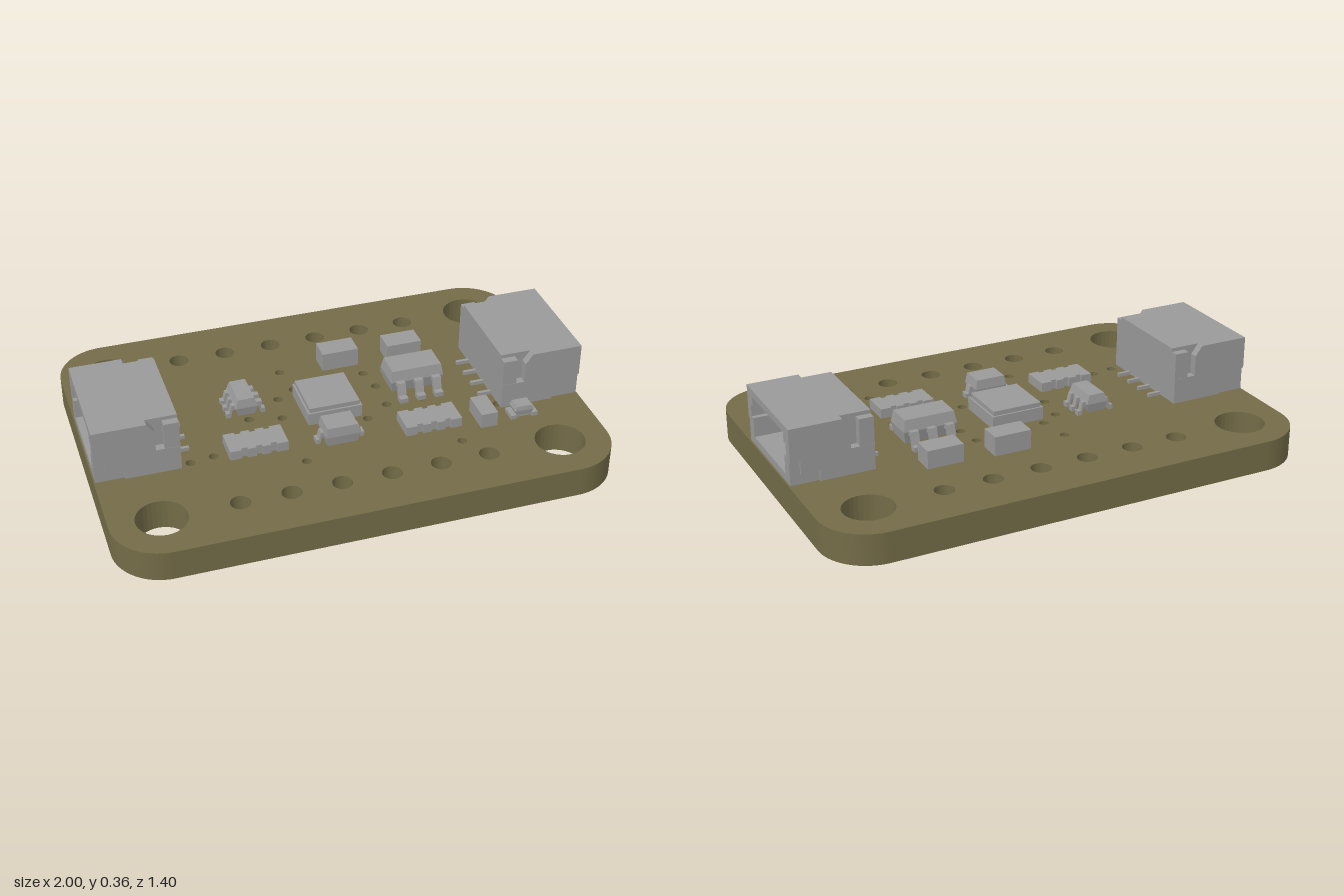
import * as THREE from 'three';

const boardMat = new THREE.MeshStandardMaterial({ name: 'olive board', color: 0x736b47 });
const partMat = new THREE.MeshStandardMaterial({ name: 'component grey', color: 0x999999 });
const TOP = 0.125; // upper face of the board

function add(parent, name, geometry, material = partMat) {
  const mesh = new THREE.Mesh(geometry, material);
  mesh.name = name;
  parent.add(mesh);
  return mesh;
}

// Box given by its limits on each axis
function block(parent, name, x0, x1, y0, y1, z0, z1) {
  const g = new THREE.BoxGeometry(x1 - x0, y1 - y0, z1 - z0);
  g.translate((x0 + x1) / 2, (y0 + y1) / 2, (z0 + z1) / 2);
  return add(parent, name, g);
}

const polygon = (pts) => new THREE.Shape(pts.map(([x, y]) => new THREE.Vector2(x, y)));
const extrude = (shape, depth) =>
  new THREE.ExtrudeGeometry(shape, { depth, bevelEnabled: false, curveSegments: 16 });

// Moulded chip body: widest at the waist, drawn in at top and bottom
function mouldedBody(parent, name, x0, x1, y0, y1, z0, z1, insetX, insetZ) {
  const w = x1 - x0, h = y1 - y0, d = z1 - z0;
  const g = new THREE.BoxGeometry(w, h, d, 1, 2, 1).toNonIndexed();
  const p = g.attributes.position;
  for (let i = 0; i < p.count; i++) {
    const t = Math.abs(p.getY(i)) / (h / 2);
    p.setX(i, p.getX(i) * (1 - (2 * insetX * t) / w));
    p.setZ(i, p.getZ(i) * (1 - (2 * insetZ * t) / d));
  }
  g.computeVertexNormals();
  g.translate((x0 + x1) / 2, (y0 + y1) / 2, (z0 + z1) / 2);
  return add(parent, name, g);
}

// Bent lead running outward from (x, z); angle 0 points to +x
function gullLead(parent, x, z, angle, reach, rise, width) {
  const s = polygon([[-0.02, rise + 0.01], [0.4 * reach, rise + 0.01], [0.62 * reach, 0.02], [reach, 0.02],
    [reach, 0], [0.5 * reach, 0], [0.28 * reach, rise - 0.01], [-0.02, rise - 0.01]].reverse());
  const g = extrude(s, width);
  g.translate(0, 0, -width / 2);
  const lead = add(parent, 'lead', g);
  lead.position.set(x, TOP, z);
  lead.rotation.y = angle;
}

function makeBoard() {
  const X = 1, Z = 0.7, r = 0.2;
  const s = new THREE.Shape();
  s.absarc(X - r, Z - r, r, 0, Math.PI / 2);
  s.absarc(-X + r, Z - r, r, Math.PI / 2, Math.PI);
  s.absarc(-X + r, -Z + r, r, Math.PI, Math.PI * 1.5);
  s.absarc(X - r, -Z + r, r, Math.PI * 1.5, Math.PI * 2);
  const hole = (x, z, radius) => s.holes.push(new THREE.Path().absarc(x, -z, radius, 0, Math.PI * 2, true));
  for (const z of [-0.5, 0.5]) {
    for (const x of [-0.8, 0.8]) hole(x, z, 0.1); // mounting holes
    for (let i = 0; i < 6; i++) hole(-0.5 + i * 0.2, z, 0.04); // header holes
  }
  const vias = [[-0.12, -0.285], [-0.012, -0.18], [-0.1, -0.15], [-0.18, -0.1], [0.12, -0.143], [0.21, -0.174],
    [0.23, -0.07], [-0.2, 0.03], [-0.33, 0], [0.125, 0.137], [0.23, 0.067], [0.38, 0.067],
    [-0.525, 0.193], [-0.62, 0.206], [-0.19, 0.332], [0.43, 0.39], [0.66, 0.2]];
  vias.forEach(([x, z]) => hole(x, z, 0.019));
  return extrude(s, TOP).rotateX(-Math.PI / 2);
}

// Side-entry socket with its mouth towards +x
function makeSocket(name) {
  const g = new THREE.Group();
  g.name = name;
  const y0 = TOP + 0.003, y1 = 0.36, back = 0.66, front = 0.995;
  // Sleeve around the mouth, with key slots at both sides
  const sleeve = polygon([[-0.2, y0], [0.2, y0], [0.2, y1], [-0.2, y1]]);
  const half = [[0.175, 0.16], [0.175, 0.24], [0.196, 0.24], [0.196, 0.29], [0.175, 0.29], [0.175, 0.33]];
  const mirrored = half.map(([u, v]) => [-u, v]).reverse();
  sleeve.holes.push(new THREE.Path([...half, ...mirrored].map(([u, v]) => new THREE.Vector2(u, v))));
  const sleeveGeo = extrude(sleeve, front - back - 0.05).rotateY(Math.PI / 2);
  sleeveGeo.translate(back + 0.05, 0, 0);
  add(g, 'socketSleeve', sleeveGeo);
  block(g, 'socketBack', back, back + 0.05, y0, y1, -0.2, 0.2);

  // Side cheeks, notched at the rear top and the lower front
  const rearTop = [[front, y1], [0.785, y1], [0.755, 0.32], [0.755, 0.235], [back, 0.235], [back, y0]];
  const inner = polygon([[front, y0], ...rearTop]);
  const outer = polygon([[0.88, y0], [0.88, 0.17], [0.955, 0.17], [0.955, 0.225], [front, 0.225], ...rearTop]);
  for (const side of [-1, 1]) {
    const a = extrude(inner, 0.023);
    a.translate(0, 0, side > 0 ? 0.2 : -0.223);
    add(g, 'socketCheek', a);
    const b = extrude(outer, 0.01);
    b.translate(0, 0, side > 0 ? 0.223 : -0.233);
    add(g, 'socketCheekSkin', b);
    const z = side * 0.2, zo = side * 0.232;
    block(g, 'socketRearTab', back, 0.72, 0.235, 0.345, Math.min(z, zo), Math.max(z, zo));
  }
  // Contacts inside and solder tails behind
  for (const z of [-0.12, -0.04, 0.04, 0.12]) {
    block(g, 'contactPin', back + 0.04, 0.93, 0.262, 0.296, z - 0.008, z + 0.008);
    block(g, 'solderTail', 0.605, back + 0.01, TOP, 0.14, z - 0.007, z + 0.007);
  }
  return g;
}

// Four-element resistor array with notches along both long edges
function resistorArray(parent, x0, x1, z0, z1) {
  const pitch = (x1 - x0) / 4, n = 0.012;
  const edge = [[x0, 0]];
  for (let i = 1; i < 4; i++) {
    const c = x0 + i * pitch;
    edge.push([c - n, 0], [c - n, n], [c + n, n], [c + n, 0]);
  }
  edge.push([x1, 0]);
  const near = edge.map(([x, e]) => [x, -z1 + e]);
  const far = edge.map(([x, e]) => [x, -z0 - e]).reverse();
  const g = extrude(polygon([...near, ...far]), 0.04).rotateX(-Math.PI / 2);
  g.translate(0, TOP, 0);
  add(parent, 'resistorArray', g);
}

export function createModel() {
  const model = new THREE.Group();
  model.name = 'circuitBoard';
  add(model, 'board', makeBoard(), boardMat);

  // Sockets at both ends
  model.add(makeSocket('leftSocket'));
  const right = makeSocket('rightSocket');
  right.rotation.y = Math.PI;
  model.add(right);

  // Square sensor chip: base with a slightly smaller lid
  block(model, 'sensorBase', -0.115, 0.11, TOP, 0.178, -0.115, 0.11);
  block(model, 'sensorLid', -0.107, 0.102, 0.178, 0.197, -0.107, 0.102);

  // Six-lead chip, leads front and back
  mouldedBody(model, 'regulatorBody', 0.265, 0.49, 0.14, 0.237, -0.112, 0.02, 0.008, 0.01);
  for (const x of [0.302, 0.378, 0.454]) {
    gullLead(model, x, 0.015, -Math.PI / 2, 0.065, 0.06, 0.035);
    gullLead(model, x, -0.107, Math.PI / 2, 0.06, 0.06, 0.035);
  }

  // Small six-lead chip, leads left and right
  mouldedBody(model, 'transistorBody', -0.38, -0.287, 0.135, 0.21, -0.17, -0.018, 0.013, 0.006);
  for (const z of [-0.142, -0.094, -0.046]) {
    gullLead(model, -0.29, z, 0, 0.037, 0.045, 0.024);
    gullLead(model, -0.377, z, Math.PI, 0.037, 0.045, 0.024);
  }

  // Diode with one lead at each end
  mouldedBody(model, 'diodeBody', -0.093, 0.045, 0.13, 0.21, 0.17, 0.275, 0.007, 0.005);
  gullLead(model, 0.042, 0.222, 0, 0.033, 0.04, 0.035);
  gullLead(model, -0.09, 0.222, Math.PI, 0.033, 0.04, 0.035);

  // Chip capacitors and the upright resistor
  block(model, 'capacitor', 0.055, 0.21, TOP, 0.205, -0.335, -0.243);
  block(model, 'capacitor', 0.335, 0.485, TOP, 0.2, -0.32, -0.228);
  block(model, 'resistor', 0.533, 0.602, TOP, 0.188, 0.207, 0.335);

  resistorArray(model, -0.47, -0.235, 0.12, 0.24);
  resistorArray(model, 0.232, 0.465, 0.18, 0.298);

  // Indicator lamp: flat base, end pads and a tapered lens
  block(model, 'lampBase', 0.672, 0.782, TOP, 0.14, 0.268, 0.308);
  for (const x of [0.668, 0.758]) block(model, 'lampPad', x, x + 0.024, TOP, 0.143, 0.257, 0.32);
  mouldedBody(model, 'lampLens', 0.685, 0.765, 0.14, 0.178, 0.258, 0.318, 0.008, 0.003);

  return model;
}
